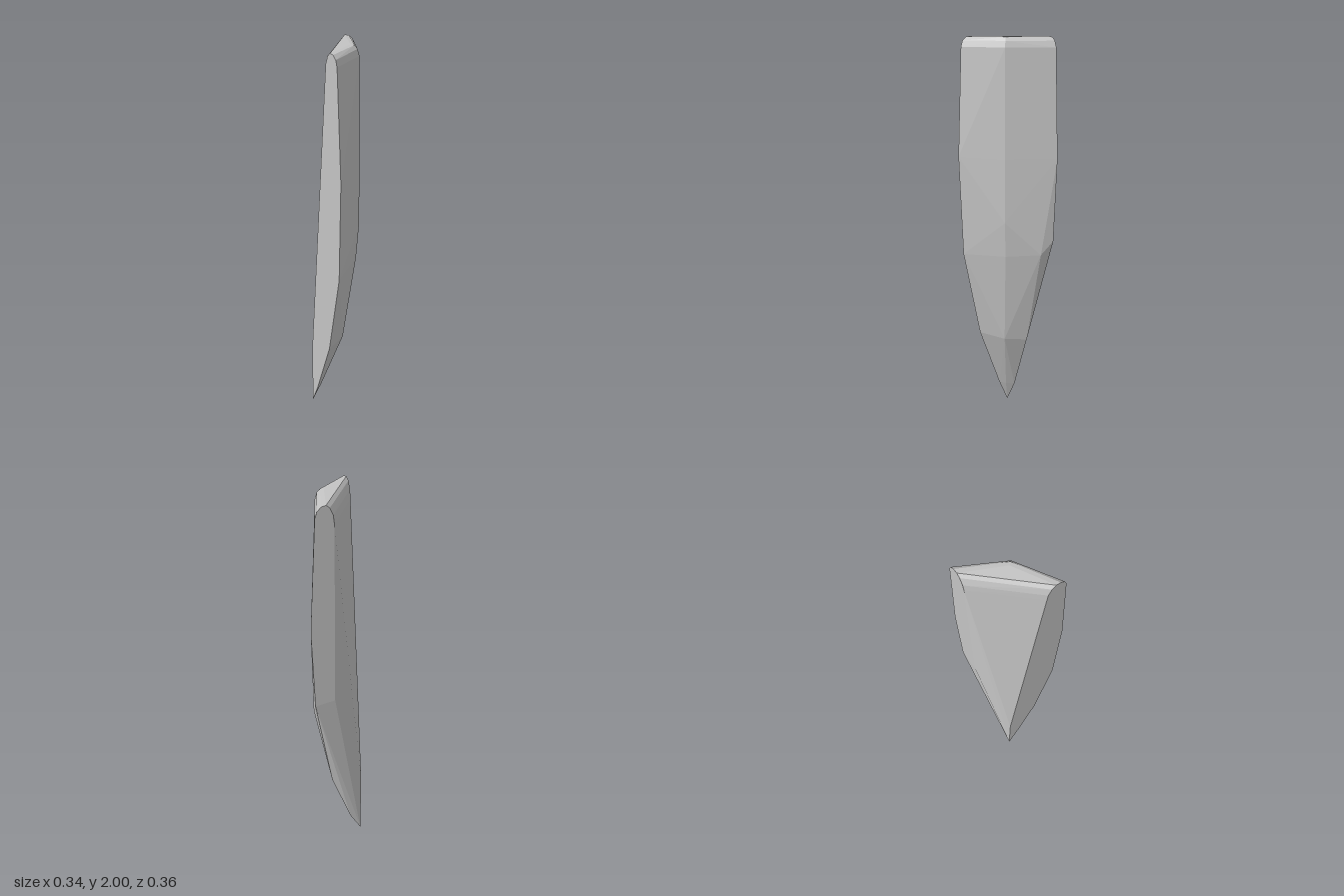
import * as THREE from 'three';
import { ConvexGeometry } from 'three/addons/geometries/ConvexGeometry.js';

const SIDE = -0.172; // flat cut facing -x
const BACK = -0.178; // flat cut facing -z

export function createModel() {
  const group = new THREE.Group();
  const stone = new THREE.MeshStandardMaterial({ color: 0xc4c4c4 });
  stone.name = 'stone grey';

  // Rounded upper edge: the same profile swept along both flat cuts [y, z on side cut, x on back cut]
  const profile = [
    [1.91, 0.06, 0.052], [1.95, 0.065, 0.058], [1.985, 0.08, 0.075], [2.0, 0.1, 0.093],
    [1.997, 0.122, 0.116], [1.98, 0.143, 0.137], [1.95, 0.153, 0.148], [1.42, 0.177, 0.172],
  ];
  const points = [];
  const add = (x, y, z) => points.push(new THREE.Vector3(x, y, z));
  for (const [y, z, x] of profile) {
    add(SIDE, y, z);
    add(x, y, BACK);
  }

  // Front ridge, from the rounded top down
  [[0, 2, 0.005], [0.013, 1.997, 0.018], [0.023, 1.98, 0.028], [0.029, 1.95, 0.034],
    [0.032, 1.42, 0.037], [0.03, 1.1, 0.036]].forEach(p => add(...p));

  // Tapering rings: side cut, ridge, back corner
  [
    [[SIDE, 0.91, 0.157], [0.02, 0.92, 0.026], [0.127, 0.93, -0.118]],
    [[SIDE, 0.45, 0.06], [-0.04, 0.44, -0.01], [0.015, 0.43, -0.115]],
    [[SIDE, 0.12, -0.065], [-0.135, 0.12, -0.085], [-0.103, 0.12, -0.12]],
  ].forEach(ring => ring.forEach(p => add(...p)));

  // Foot of the back cut, inner edge of the side cut, and the tip
  add(0.15, 1.0, BACK);
  add(0.04, 1.0, BACK);
  add(SIDE, 0.35, -0.112);
  add(SIDE, 0, -0.119);

  const shard = new THREE.Mesh(new ConvexGeometry(points), stone);
  shard.name = 'shard';
  group.add(shard);
  return group;
}
